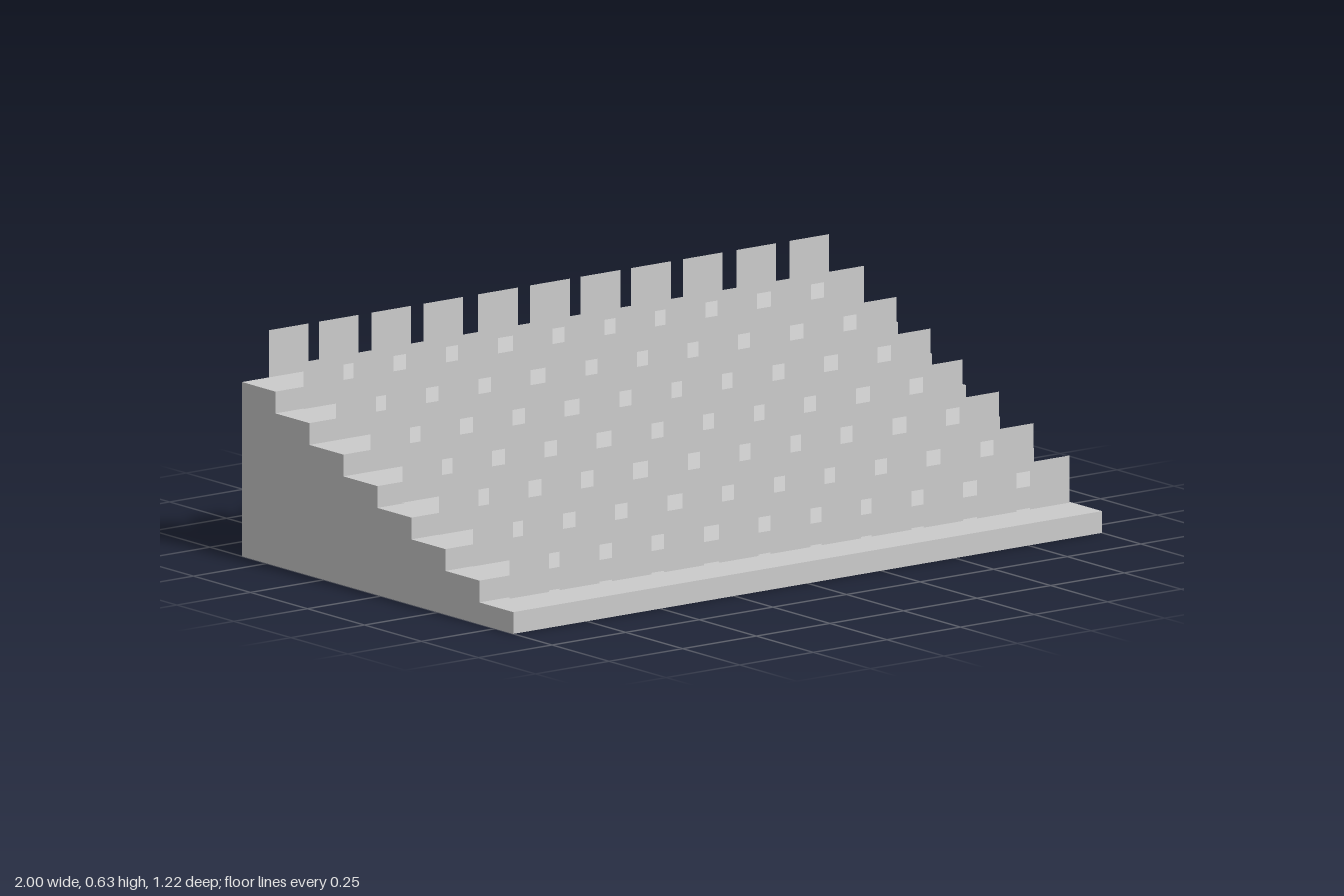
import * as THREE from 'three';

export function createModel() {
  const model = new THREE.Group();
  model.name = 'grandstand';
  const concrete = new THREE.MeshStandardMaterial({ color: 0xcccccc, flatShading: true });
  const sheet = new THREE.MeshStandardMaterial({ color: 0xcccccc, side: THREE.DoubleSide });

  const STEPS = 8, RISE = 0.06, RUN = 0.149, FRONT = 0.58, BACK = -0.61;

  // Stepped terrace: side profile (z, y) extruded across the width
  const profile = new THREE.Shape();
  profile.moveTo(BACK, 0);
  profile.lineTo(FRONT, 0);
  for (let i = 0; i < STEPS; i++) {
    const z = FRONT - i * RUN;
    profile.lineTo(z, (i + 1) * RISE);
    profile.lineTo(i === STEPS - 1 ? BACK : z - RUN, (i + 1) * RISE);
  }
  const terraceGeometry = new THREE.ExtrudeGeometry(profile, { depth: 2, bevelEnabled: false });
  terraceGeometry.rotateY(-Math.PI / 2).translate(1, 0, 0);
  const terrace = new THREE.Mesh(terraceGeometry, concrete);
  terrace.name = 'terrace';
  model.add(terrace);

  // Chair sheets, with the origin at the back edge of the seat
  const WIDTH = 0.135, DEPTH = 0.09, HEIGHT = 0.13;
  const seatGeometry = new THREE.PlaneGeometry(WIDTH, DEPTH).rotateX(-Math.PI / 2).translate(0, 0, DEPTH / 2);
  const backGeometry = new THREE.PlaneGeometry(WIDTH, HEIGHT).translate(0, HEIGHT / 2, 0);

  const addSheet = (parent, geometry, name) => {
    const mesh = new THREE.Mesh(geometry, sheet);
    mesh.name = name;
    parent.add(mesh);
  };

  // Slightly uneven seat spacing: back edges of the rows, centres of the columns
  const rowZ = [0.515, 0.355, 0.205, 0.045, -0.095, -0.245, -0.388, -0.54];
  const columnX = [-0.895, -0.725, -0.547, -0.37, -0.184, -0.008, 0.164, 0.335, 0.511, 0.693, 0.873];
  rowZ.forEach((z, i) => {
    const row = new THREE.Group();
    row.name = `seatRow${i + 1}`;
    row.position.set(0, (i + 1) * RISE + 0.02, z);
    for (const x of columnX) {
      const chair = new THREE.Group();
      chair.name = 'chair';
      chair.position.x = x;
      addSheet(chair, seatGeometry, 'seat');
      addSheet(chair, backGeometry, 'backrest');
      row.add(chair);
    }
    model.add(row);
  });

  return model;
}
